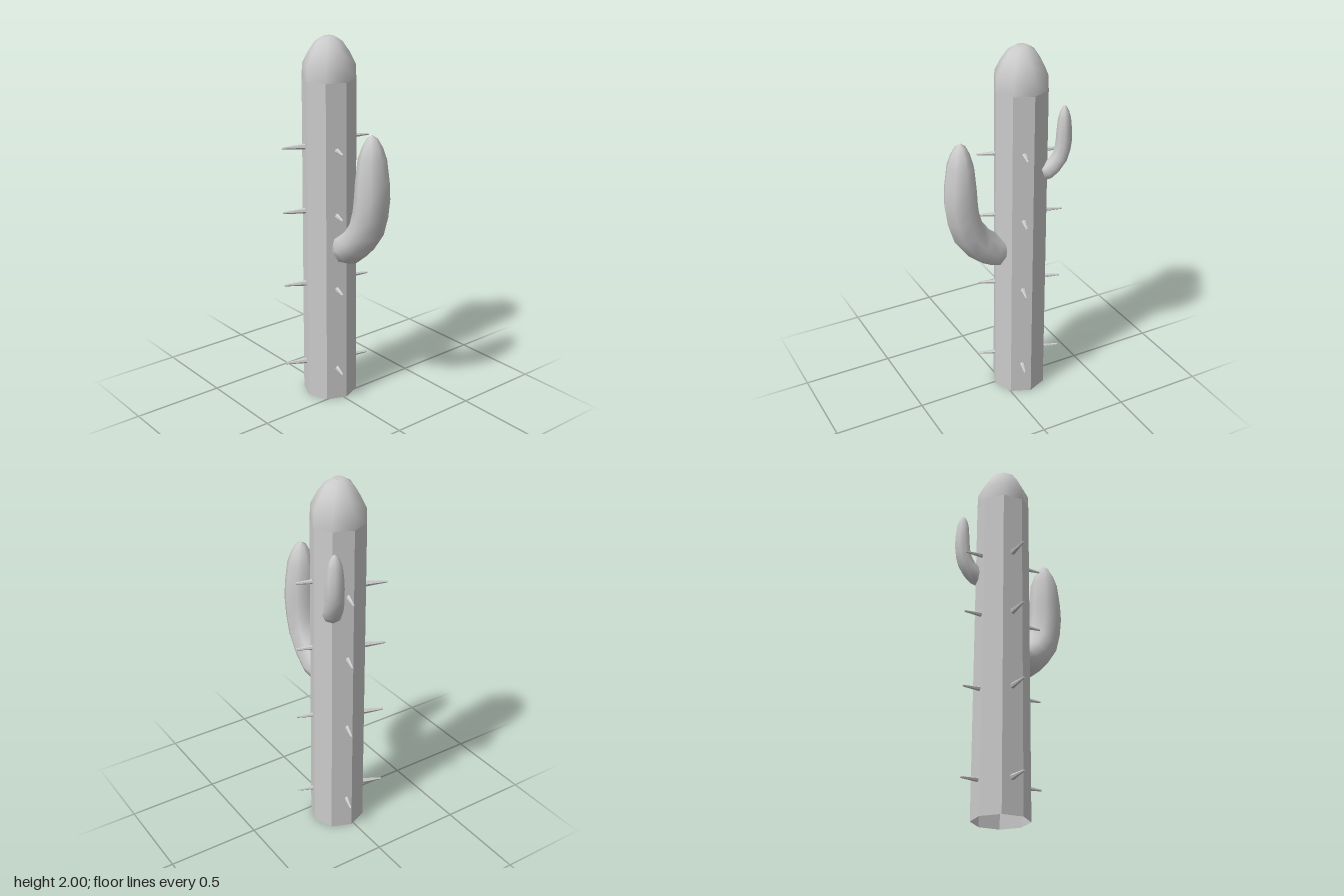
import * as THREE from 'three';

const smooth = new THREE.MeshStandardMaterial({ color: 0xcccccc, side: THREE.DoubleSide });
const faceted = new THREE.MeshStandardMaterial({ color: 0xcccccc, side: THREE.DoubleSide, flatShading: true });
const SIDES = 8;
const CX = -0.107, CZ = -0.015; // trunk axis

function add(parent, name, geometry, material) {
  const mesh = new THREE.Mesh(geometry, material);
  mesh.name = name;
  parent.add(mesh);
  return mesh;
}

// Upturned arm swept in the xy plane; each section is [x, y, radius, half depth, tilt in degrees]
function armGeometry() {
  const sections = [
    [0.0, 0.0, 0.085, 0.085, 68],
    [0.05, 0.02, 0.09, 0.1, 58],
    [0.12, 0.075, 0.09, 0.098, 48],
    [0.18, 0.155, 0.09, 0.096, 28],
    [0.208, 0.245, 0.09, 0.095, 13],
    [0.22, 0.335, 0.091, 0.094, 4],
    [0.22, 0.42, 0.086, 0.09, -2],
    [0.218, 0.54, 0.072, 0.076, -2],
    [0.217, 0.6, 0.052, 0.055, -2],
    [0.216, 0.645, 0.028, 0.03, -2],
    [0.215, 0.664, 0.001, 0.001, -2],
  ];
  const pos = [], idx = [];
  sections.forEach(([x, y, r, d, tilt], i) => {
    const t = THREE.MathUtils.degToRad(tilt);
    for (let j = 0; j < SIDES; j++) {
      const a = (j / SIDES) * Math.PI * 2;
      const u = Math.cos(a) * r;
      pos.push(x + u * Math.cos(t), y - u * Math.sin(t), Math.sin(a) * d);
      if (i === 0) continue;
      const k = (j + 1) % SIDES, lo = (i - 1) * SIDES, hi = i * SIDES;
      idx.push(lo + j, hi + j, lo + k, lo + k, hi + j, hi + k);
    }
  });
  const g = new THREE.BufferGeometry();
  g.setAttribute('position', new THREE.Float32BufferAttribute(pos, 3));
  g.setIndex(idx);
  g.computeVertexNormals();
  return g;
}

export function createModel() {
  const cactus = new THREE.Group();
  cactus.name = 'cactus';

  // Eight-sided trunk, open underneath
  const trunk = add(cactus, 'trunk', new THREE.CylinderGeometry(0.142, 0.149, 1.78, SIDES, 1, true), faceted);
  trunk.position.set(CX, 0.89, CZ);

  // Rounded crown with a shallow dip in the middle
  const profile = [[0.142, 1.78], [0.139, 1.86], [0.105, 1.925], [0.07, 1.975], [0.03, 2.0], [0, 1.992]];
  const crown = add(cactus, 'crown',
    new THREE.LatheGeometry(profile.map(([r, y]) => new THREE.Vector2(r, y)), SIDES), smooth);
  crown.position.set(CX, 0, CZ);

  // Large arm on the left, small one behind on the right
  const arm = armGeometry();
  add(cactus, 'largeArm', arm, smooth).position.set(0.02, 0.885, -0.017);
  const small = add(cactus, 'smallArm', arm, smooth);
  small.position.set(-0.191, 1.337, -0.108);
  small.scale.set(0.46, 0.55, 0.52);
  small.rotation.y = Math.PI - 0.45;

  // Four columns of spines: root, tip, root radius, heights
  const heights = [0.187, 0.66, 1.077, 1.43];
  const columns = [
    ['frontSpine', [-0.15, 0.085], [-0.201, 0.223], 0.018, heights],
    ['backSpine', [-0.068, -0.12], [-0.034, -0.225], 0.014, [0.187, 0.677, 1.093, 1.47]],
    ['leftSpine', [0.01, 0.028], [0.105, 0.063], 0.014, heights],
    ['rightSpine', [-0.225, -0.034], [-0.33, -0.072], 0.014, heights],
  ];
  const up = new THREE.Vector3(0, 1, 0);
  for (const [name, root, tip, radius, ys] of columns) {
    const dir = new THREE.Vector3(tip[0] - root[0], 0, tip[1] - root[1]);
    const geometry = new THREE.CylinderGeometry(0.005, radius, dir.length(), 6);
    dir.normalize();
    for (const y of ys) {
      const spine = add(cactus, name, geometry, faceted);
      spine.position.set((root[0] + tip[0]) / 2, y, (root[1] + tip[1]) / 2);
      spine.quaternion.setFromUnitVectors(up, dir);
    }
  }
  return cactus;
}
